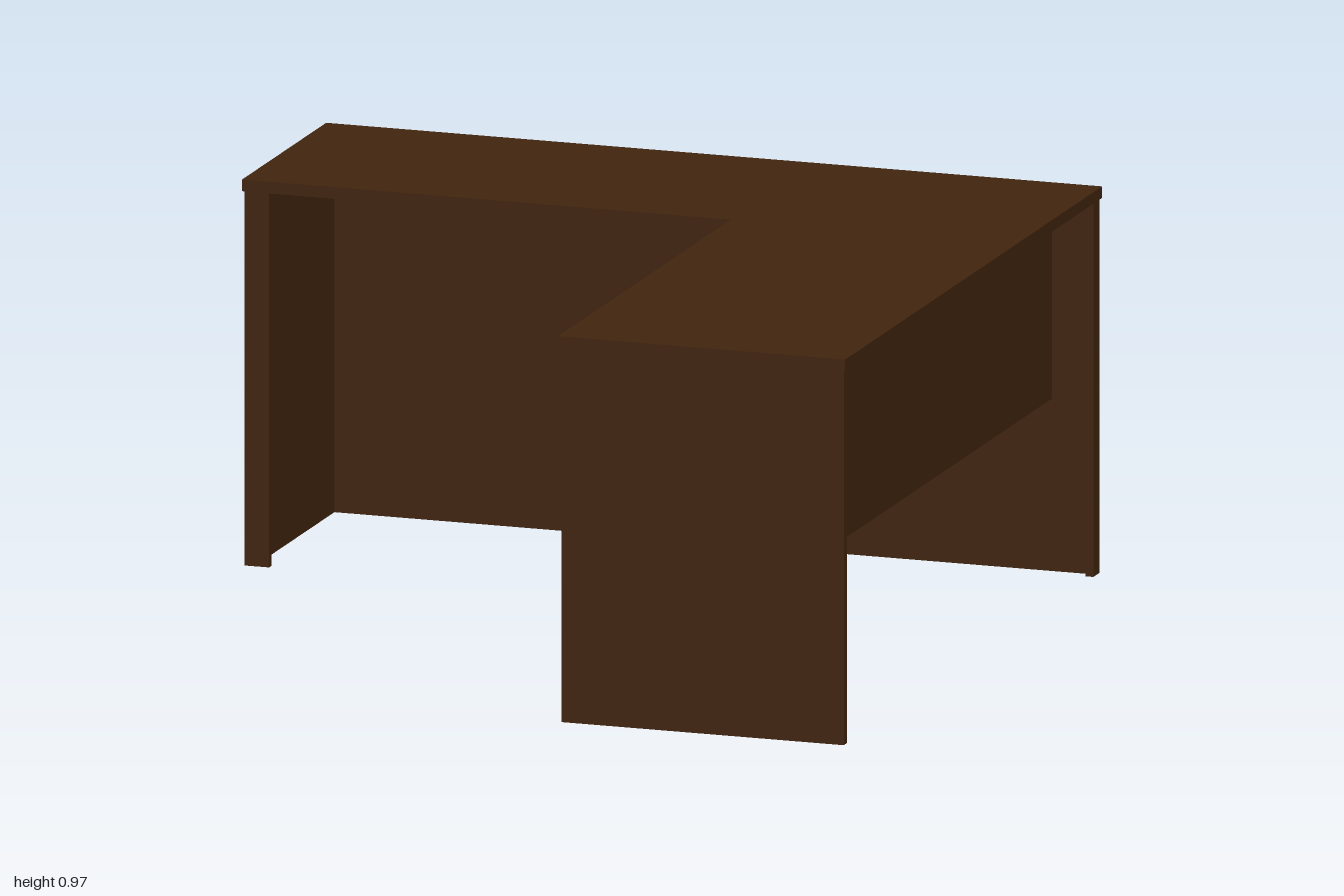
import * as THREE from 'three';

export function createModel() {
  const desk = new THREE.Group();
  desk.name = 'cornerDesk';
  const wood = new THREE.MeshStandardMaterial({ color: 0x42250e });

  // Board given by its minimum and maximum corners
  function board(name, [x0, y0, z0], [x1, y1, z1]) {
    const mesh = new THREE.Mesh(new THREE.BoxGeometry(x1 - x0, y1 - y0, z1 - z0), wood);
    mesh.position.set((x0 + x1) / 2, (y0 + y1) / 2, (z0 + z1) / 2);
    mesh.name = name;
    desk.add(mesh);
  }

  const under = 0.938, top = 0.967;

  // Two worktops meeting at the seam of the L
  board('mainTop', [-1, under, -0.95], [0.26, top, -0.327]);
  board('returnTop', [0.26, under, -0.95], [1, top, 0.95]);

  // Full-height back panel with a stiffening lip on its open edge
  board('backPanel', [-0.995, 0, -0.945], [0.995, under, -0.925]);
  board('backPanelLip', [0.975, 0, -0.925], [0.995, under, -0.9]);

  // Right end panel and the lip along its front edge
  board('rightEndPanel', [-0.995, 0, -0.925], [-0.97, under, -0.332]);
  board('rightEndLip', [-0.97, 0, -0.352], [-0.932, under, -0.332]);

  // Front end panel of the return and the lip along its inner edge
  board('returnEndPanel', [0.268, 0, 0.922], [0.995, under, 0.945]);
  board('returnEndLip', [0.268, 0, 0.885], [0.29, under, 0.922]);

  // Half-height modesty panel, set in from the outer side
  board('modestyPanel', [0.855, 0.432, -0.925], [0.88, under, 0.922]);

  return desk;
}
